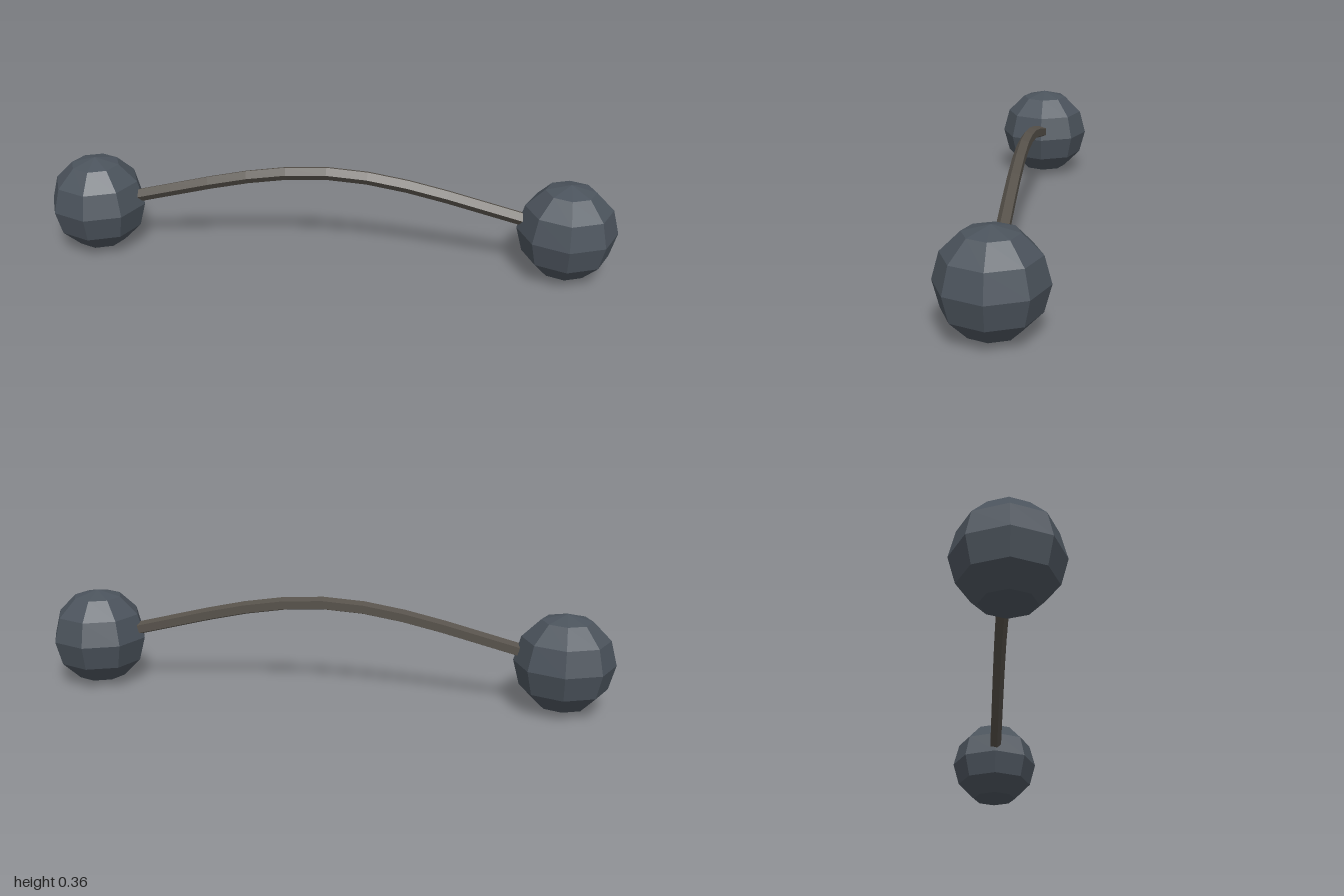
import * as THREE from 'three';

export function createModel() {
  const model = new THREE.Group();
  model.name = 'barbell';
  const radius = 0.171, ballX = 1 - radius;

  const ballMaterial = new THREE.MeshStandardMaterial({ color: 0x4b535c, flatShading: true });
  const barMaterial = new THREE.MeshStandardMaterial({ color: 0x57524b, flatShading: true });

  // Faceted weights at both ends
  const ballGeometry = new THREE.SphereGeometry(radius, 8, 6);
  for (const side of [-1, 1]) {
    const ball = new THREE.Mesh(ballGeometry, ballMaterial);
    ball.name = side > 0 ? 'leftBall' : 'rightBall';
    ball.position.set(side * ballX, radius, 0);
    model.add(ball);
  }

  // Bowed five-sided bar running between the ball centres
  const path = new THREE.CatmullRomCurve3([
    new THREE.Vector3(-ballX, radius, 0),
    new THREE.Vector3(0, 0.333, 0),
    new THREE.Vector3(ballX, radius, 0),
  ]);
  const bar = new THREE.Mesh(new THREE.TubeGeometry(path, 12, 0.024, 5), barMaterial);
  bar.name = 'bar';
  model.add(bar);

  return model;
}
